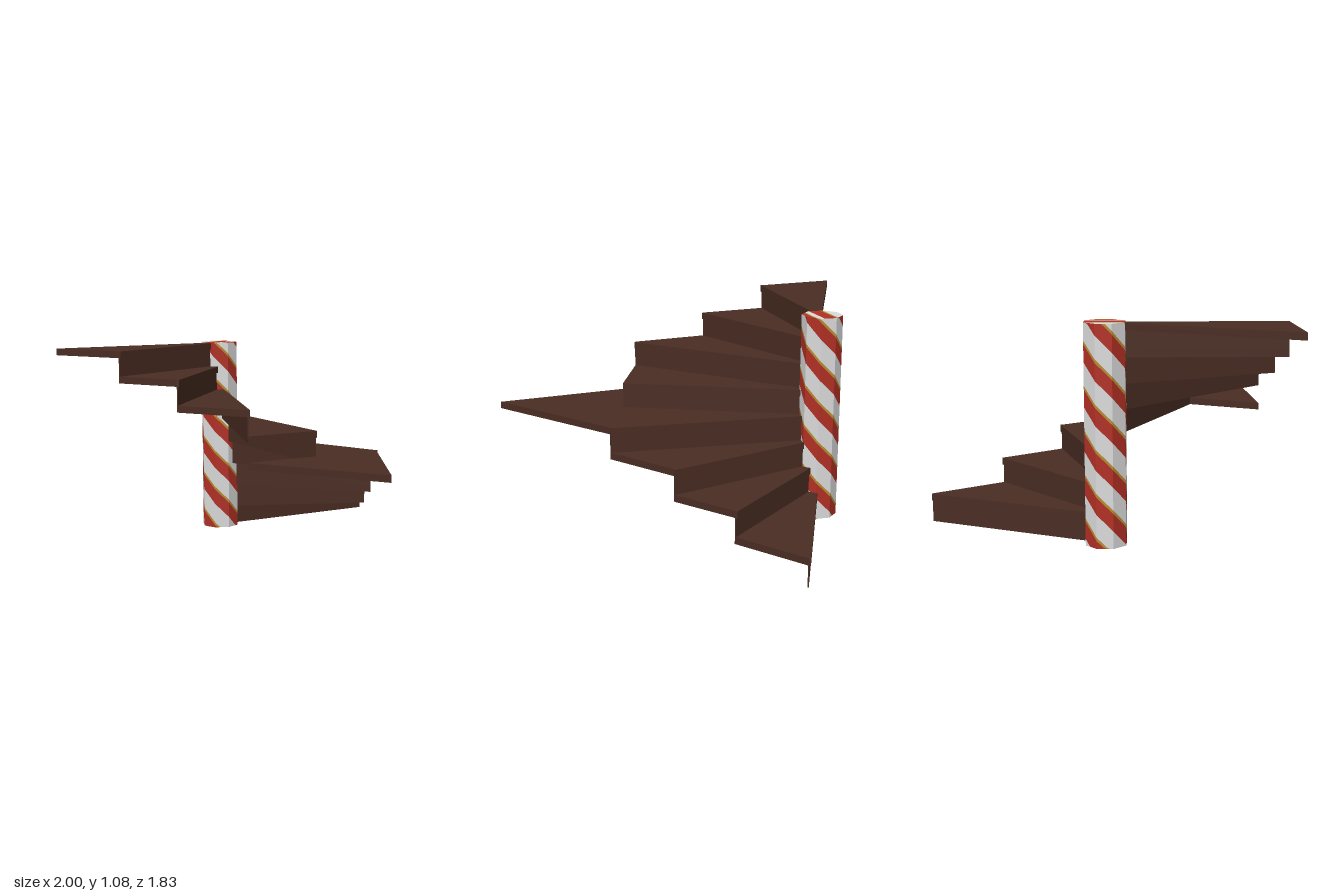
import * as THREE from 'three';

const material = (name, color) => Object.assign(new THREE.MeshStandardMaterial({ color }), { name });

// Flat-shaded geometry from a list of triangle corners
function facets(points) {
  const g = new THREE.BufferGeometry().setFromPoints(points);
  g.computeVertexNormals();
  return g;
}

// Upright prism over an outline of [x, z] points
function prism(outline, y0, y1) {
  const shape = new THREE.Shape(outline.map(([x, z]) => new THREE.Vector2(x, -z)));
  return new THREE.ExtrudeGeometry(shape, { depth: y1 - y0, bevelEnabled: false })
    .rotateX(-Math.PI / 2).translate(0, y0, 0);
}

// Keep the part of a 2D polygon where dot(p, n) >= limit
function clip(poly, n, limit) {
  const out = [];
  poly.forEach((p, i) => {
    const q = poly[(i + 1) % poly.length];
    const a = p.dot(n) - limit, b = q.dot(n) - limit;
    if (a >= 0) out.push(p);
    if (a * b < 0) out.push(p.clone().lerp(q, a / (a - b)));
  });
  return out;
}

export function createModel() {
  const group = new THREE.Group();
  const wood = material('dark wood', 0x4a2d23);
  const white = material('pole white', 0xdcdcdc);
  const red = material('stripe red', 0xb23025);
  const gold = material('stripe gold', 0xb88d30);
  const add = (name, geometry, mat, parent = group) => {
    const mesh = new THREE.Mesh(geometry, mat);
    mesh.name = name;
    parent.add(mesh);
  };

  // Winding stair: wedge treads fanning round the pole, with a pointed landing
  const C = [0, -0.81], rise = 0.1335, thick = 0.036, nose = 0.013;
  const corners = [[0.997, -0.81], [0.785, -0.45], [0.605, -0.13], [0.39, 0.23], [0, 0.23],
    [-0.4, 0.23], [-0.615, -0.13], [-0.795, -0.45], [-1, -0.815]];
  for (let i = 0; i < 8; i++) {
    const P = corners[i], Q = corners[i + 1];
    const len = Math.hypot(P[0] - C[0], P[1] - C[1]);
    const n = [(P[1] - C[1]) / len, -(P[0] - C[0]) / len];
    const shift = (p, d) => [p[0] + n[0] * d, p[1] + n[1] * d];
    const top = 0.146 + i * rise;
    const outer = i === 3 ? [[0, 0.91], [-0.4, 0.23], Q] : [Q];
    const step = new THREE.Group();
    step.name = i === 3 ? 'landing' : `step${i + 1}`;
    add('tread', prism([shift(C, nose), shift(P, nose), P, ...outer, C], top - thick, top), wood, step);
    const foot = i === 0 ? 0 : top - rise;
    add('riser', prism([shift(C, 0.006), shift(P, 0.006), P, C], foot, top - thick), wood, step);
    group.add(step);
  }

  // Eight-sided pole wrapped in three helical stripes
  const R = 0.106, H = 1.083, sides = 8, cuts = 5, pitch = 0.645, gap = pitch / 3;
  const pole = new THREE.Group();
  pole.name = 'pole';
  pole.position.set(0, 0, -0.815);
  group.add(pole);
  const rim = Array.from({ length: sides }, (_, k) => {
    const a = k / sides * Math.PI * 2;
    return new THREE.Vector2(Math.sin(a) * R, Math.cos(a) * R);
  });
  const bands = [['poleRed', red, 0, 0.4], ['poleGold', gold, 0.4, 0.48], ['poleWhite', white, 0.48, 1]];
  for (const [name, mat, from, to] of bands) {
    const pts = [];
    for (let c = 0; c < sides * cuts; c++) {
      const side = Math.floor(c / cuts), t = (c % cuts) / cuts;
      const e0 = rim[side], e1 = rim[(side + 1) % sides];
      const p = e0.clone().lerp(e1, t), q = e0.clone().lerp(e1, t + 1 / cuts);
      for (let k = -2; k < 10; k++) {
        const y = (f, col) => THREE.MathUtils.clamp((k + f) * gap - col / (sides * cuts) * pitch + 0.06, 0, H);
        const a = new THREE.Vector3(p.x, y(from, c), p.y), b = new THREE.Vector3(q.x, y(from, c + 1), q.y);
        const d = new THREE.Vector3(p.x, y(to, c), p.y), e = new THREE.Vector3(q.x, y(to, c + 1), q.y);
        if (b.y < e.y) pts.push(a, b, e);
        if (a.y < d.y) pts.push(a, e, d);
      }
    }
    add(name, facets(pts), mat, pole);
  }

  // Striped end caps
  const across = new THREE.Vector2(0.45, 0.89), back = across.clone().negate();
  const strips = [[white, -0.2, -0.045], [gold, -0.045, -0.033], [red, -0.033, 0.03],
    [white, 0.03, 0.062], [gold, 0.062, 0.072], [red, 0.072, 0.2]];
  for (const [mat, lo, hi] of strips) {
    const poly = clip(clip(rim, across, lo), back, -hi);
    const pts = [];
    for (let i = 1; i < poly.length - 1; i++) {
      const tri = [poly[0], poly[i], poly[i + 1]];
      pts.push(...tri.map(v => new THREE.Vector3(v.x, H, v.y)));
      pts.push(...tri.reverse().map(v => new THREE.Vector3(v.x, 0, v.y)));
    }
    add('poleCap', facets(pts), mat, pole);
  }
  return group;
}
